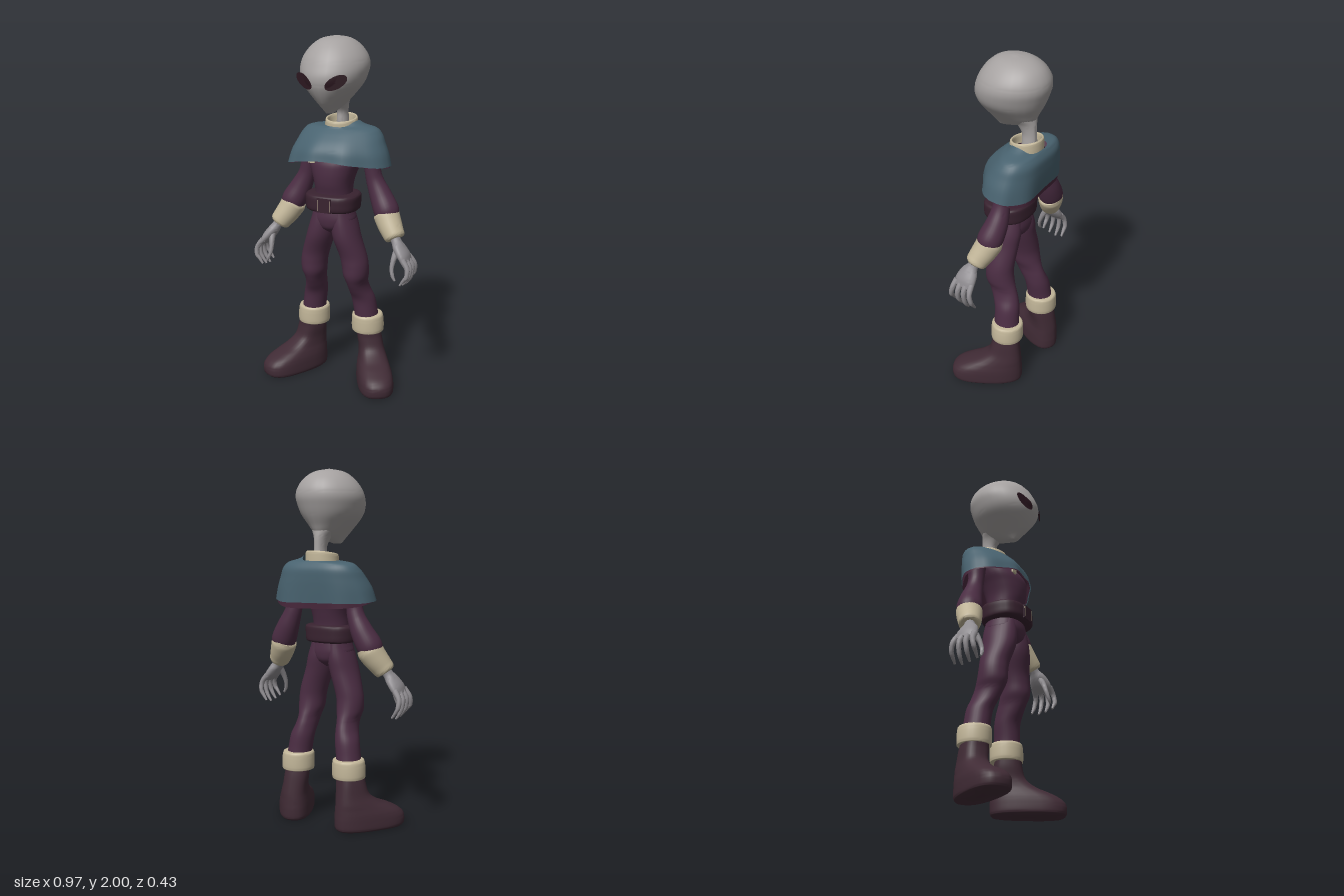
import * as THREE from 'three';
import { toCreasedNormals } from 'three/addons/utils/BufferGeometryUtils.js';

const mat = (name, color, side = THREE.FrontSide) => {
  const m = new THREE.MeshStandardMaterial({ color, side });
  m.name = name;
  return m;
};

// Smooth curves through rows of [x, y, z, radiusX, radiusZ]
function sampler(rows) {
  const spline = f => new THREE.CatmullRomCurve3(rows.map(f), false, 'catmullrom', 0.5);
  const centre = spline(r => new THREE.Vector3(r[0], r[1], r[2]));
  const radius = spline(r => new THREE.Vector3(r[3], r[4] ?? r[3], 0));
  return t => ({ c: centre.getPoint(t), r: radius.getPoint(t), d: centre.getTangent(t) });
}

// Skin of rounded rings along the rows. flat keeps rings level (rows then run upward);
// square < 1 makes the rings boxier; warp moves each vertex by angle and position.
function loft(rows, { flat = true, square = 1, cap = true, steps = 5, sides = 28, warp } = {}) {
  const at = sampler(rows), n = (rows.length - 1) * steps, pos = [], idx = [];
  const pw = v => Math.sign(v) * Math.abs(v) ** square;
  for (let i = 0; i <= n; i++) {
    const { c, r, d } = at(i / n);
    const t = flat ? new THREE.Vector3(0, 1, 0) : d;
    const v = new THREE.Vector3(0, 0, 1).addScaledVector(t, -t.z).normalize();
    const u = t.clone().cross(v);
    for (let j = 0; j < sides; j++) {
      const a = j / sides * Math.PI * 2;
      const p = c.clone().addScaledVector(u, Math.max(r.x, 0.001) * pw(Math.cos(a)))
        .addScaledVector(v, Math.max(r.y, 0.001) * pw(Math.sin(a)));
      if (warp) warp(p, a, i / n);
      pos.push(p.x, p.y, p.z);
      if (i < n) {
        const k = i * sides, A = k + j, B = k + (j + 1) % sides;
        idx.push(A, A + sides, B, B, A + sides, B + sides);
      }
    }
  }
  if (cap) for (const [i, end] of [[0, 0], [n, 1]]) {
    const c = at(end).c, m = pos.length / 3;
    pos.push(c.x, c.y, c.z);
    for (let j = 0; j < sides; j++) {
      const A = i * sides + j, B = i * sides + (j + 1) % sides;
      idx.push(...(end ? [m, B, A] : [m, A, B]));
    }
  }
  const g = new THREE.BufferGeometry();
  g.setAttribute('position', new THREE.Float32BufferAttribute(pos, 3));
  g.setIndex(idx);
  return toCreasedNormals(g, 0.9);
}

// Level ring given by height, front z, back z and half width
const band = (y, zf, zb, rx, x = 0) => [x, y, (zf + zb) / 2, rx, (zf - zb) / 2];

export function createModel() {
  const model = new THREE.Group();
  model.name = 'alienFigure';
  const skin = mat('grey skin', 0xa6a2a1), handSkin = mat('darker hand skin', 0x8f8c90);
  const suit = mat('plum suit', 0x4b2d43), boot = mat('dark boot', 0x402b35);
  const cream = mat('cream trim', 0xc2b699, THREE.DoubleSide), teal = mat('teal cape', 0x496370, THREE.DoubleSide);
  const lining = mat('cape lining', 0x47273b, THREE.DoubleSide);
  const beltMat = mat('belt', 0x38222f), eyeMat = mat('eye', 0x2b171f);
  const add = (name, geo, material, parent = model) => {
    const m = new THREE.Mesh(geo, material);
    m.name = name;
    parent.add(m);
    return m;
  };

  // Head and neck
  const headRows = [
    band(1.592, 0.095, 0.03, 0.02), band(1.62, 0.128, -0.075, 0.045), band(1.65, 0.157, -0.13, 0.073),
    band(1.7, 0.19, -0.157, 0.12), band(1.75, 0.211, -0.182, 0.16), band(1.8, 0.214, -0.2, 0.18),
    band(1.85, 0.197, -0.212, 0.186), band(1.9, 0.172, -0.204, 0.17), band(1.95, 0.13, -0.17, 0.13),
    band(1.985, 0.075, -0.11, 0.077), band(2, -0.015, -0.025, 0.005)];
  add('head', loft(headRows), skin);
  add('neck', loft([band(1.46, -0.06, -0.15, 0.04), band(1.53, -0.06, -0.15, 0.032),
    band(1.58, -0.057, -0.148, 0.03), band(1.63, -0.02, -0.146, 0.042), band(1.67, 0.02, -0.14, 0.07)]), skin);

  // Slanted eye plates, standing a little off the face at their outer ends
  const at = sampler(headRows);
  const faceZ = (x, y) => {
    let lo = 0, hi = 1;
    for (let i = 0; i < 25; i++) { const m = (lo + hi) / 2; if (at(m).c.y < y) lo = m; else hi = m; }
    const { c, r } = at(lo);
    return c.z + r.y * Math.sqrt(Math.max(0, 1 - (x / r.x) ** 2));
  };
  for (const s of [1, -1]) {
    const g = new THREE.RingGeometry(0.001, 1, 32, 6), p = g.attributes.position;
    for (let i = 0; i < p.count; i++) {
      const ex = p.getX(i) * 0.062, ey = p.getY(i) * 0.032, c = Math.cos(0.55), q = Math.sin(0.55);
      const x = 0.093 + ex * c - ey * q, y = 1.775 + ex * q + ey * c;
      p.setXYZ(i, s * x, y, Math.max(faceZ(x, y) + 0.006, 0.226 - 0.38 * x));
    }
    if (s < 0) g.setIndex([...g.index.array].reverse());
    g.computeVertexNormals();
    add(s > 0 ? 'leftEye' : 'rightEye', g, eyeMat);
  }

  // Stand-up collar, higher at the back, with a folded-over rim
  add('collar', loft([band(1.48, 0.002, -0.18, 0.095), band(1.51, 0.003, -0.18, 0.093), band(1.54, 0.002, -0.178, 0.09),
    band(1.541, -0.01, -0.168, 0.079), band(1.5, -0.01, -0.165, 0.076)],
  { cap: false, warp: (p, a) => { p.y -= 0.014 * Math.sin(a); } }), cream);

  // Shoulder cape: narrower in front, slightly twisted, with a fold up the left of the collar
  const capeRows = [
    band(1.288, 0.136, -0.208, 0.296), band(1.355, 0.122, -0.212, 0.28), band(1.41, 0.092, -0.214, 0.257),
    band(1.46, 0.047, -0.212, 0.233), band(1.492, 0.012, -0.195, 0.195), band(1.503, 0.004, -0.184, 0.1)];
  const drape = (drop, lift) => (p, a, t) => {
    const w = (1 - t) ** 2, s = Math.sin(a), front = Math.max(0, s), back = Math.max(0, -s);
    p.y += w * (0.044 * front * front - (0.015 + drop) * back + 0.004 * Math.sin(3 * a + 1));
    p.y += lift * Math.max(0, Math.cos(a)) ** 6 * t ** 12;
    p.x *= 1 - 0.36 * front;
    p.z += 0.006 * w * Math.sin(7 * a) - 0.08 * p.x * (1 - t);
  };
  const capeShape = { cap: false, square: 0.74, sides: 48 };
  add('cape', loft(capeRows, { ...capeShape, warp: drape(0, 0.03) }), teal);
  // Lining that shows along the back hem
  add('capeLining', loft(capeRows.slice(0, 5).map(([x, y, z, a, b]) => [x, y - 0.002, z, a * 0.97, b * 0.96]),
    { ...capeShape, warp: drape(0.03, 0) }), lining);
  // Small pale tab below the front hem
  add('capeTab', new THREE.BoxGeometry(0.04, 0.028, 0.009), cream).position.set(-0.09, 1.33, 0.115);

  // Torso, hips and belt
  add('torso', loft([band(1.05, 0.1, -0.085, 0.105), band(1.13, 0.105, -0.085, 0.104), band(1.2, 0.122, -0.1, 0.11),
    band(1.27, 0.126, -0.12, 0.132), band(1.33, 0.114, -0.145, 0.158), band(1.4, 0.06, -0.165, 0.17),
    band(1.475, -0.02, -0.16, 0.12)], { square: 0.9 }), suit);
  add('hips', loft([band(0.905, 0.05, -0.04, 0.03), band(0.94, 0.1, -0.083, 0.085), band(0.985, 0.114, -0.095, 0.125),
    band(1.03, 0.112, -0.093, 0.117), band(1.08, 0.1, -0.085, 0.105)], { square: 0.85 }), suit);
  add('belt', loft([band(1.042, 0.115, -0.095, 0.12), band(1.05, 0.146, -0.108, 0.146), band(1.09, 0.15, -0.11, 0.152),
    band(1.132, 0.144, -0.108, 0.15), band(1.142, 0.11, -0.09, 0.118)], { square: 0.76 }), beltMat);
  add('buckle', new THREE.BoxGeometry(0.085, 0.08, 0.01), beltMat).position.set(0, 1.088, 0.149);
  for (const s of [1, -1]) {
    add('buckleTrim', new THREE.BoxGeometry(0.003, 0.06, 0.004), cream).position.set(s * 0.037, 1.088, 0.154);
  }

  // Limbs, built once for each side
  for (const s of [1, -1]) {
    const side = new THREE.Group();
    side.name = s > 0 ? 'leftLimbs' : 'rightLimbs';
    model.add(side);
    const flip = rows => rows.map(([x, ...rest]) => [x * s, ...rest]);
    const limb = (name, rows, m, o) => add(name, loft(flip(rows), o), m, side);

    // Leg with thigh, knee and shin
    limb('leg', [band(0.36, 0, -0.155, 0.07, 0.172), band(0.42, 0.002, -0.147, 0.068, 0.165),
      band(0.5, 0.01, -0.14, 0.067, 0.152), band(0.56, 0.04, -0.125, 0.058, 0.138), band(0.61, 0.066, -0.107, 0.057, 0.132),
      band(0.66, 0.085, -0.09, 0.071, 0.131), band(0.72, 0.087, -0.08, 0.076, 0.128), band(0.78, 0.09, -0.08, 0.078, 0.115),
      band(0.88, 0.112, -0.085, 0.078, 0.083), band(0.96, 0.112, -0.092, 0.072, 0.066),
      band(1.04, 0.1, -0.085, 0.055, 0.055)], suit);
    limb('bootCuff', [band(0.298, 0, -0.165, 0.08, 0.175), band(0.3, 0.01, -0.174, 0.093, 0.175),
      band(0.35, 0.012, -0.176, 0.094, 0.174), band(0.395, 0.008, -0.172, 0.088, 0.172),
      band(0.402, -0.01, -0.155, 0.07, 0.171)], cream);

    // Boot turned outward, broader at the toe
    const b = limb('boot', [band(0, 0.305, -0.09, 0.09), band(0.015, 0.318, -0.1, 0.1), band(0.06, 0.318, -0.102, 0.1),
      band(0.095, 0.288, -0.1, 0.096), band(0.125, 0.23, -0.098, 0.088), band(0.155, 0.16, -0.095, 0.08),
      band(0.2, 0.1, -0.09, 0.073, -0.005), band(0.26, 0.08, -0.083, 0.072, -0.014), band(0.31, 0.075, -0.075, 0.068, -0.02)],
    boot, { square: 0.76, warp: (p, a, t) => { p.x *= 1 + 0.14 * Math.sin(a) * (1 - t); } });
    b.position.set(s * 0.2, 0, -0.085);
    b.rotation.y = s * 0.53;

    // Arm sleeve and forearm cuff
    limb('arm', [[0.14, 1.45, -0.08, 0.05], [0.185, 1.37, -0.075, 0.055], [0.198, 1.27, -0.07, 0.046], [0.214, 1.2, -0.073, 0.05],
      [0.25, 1.12, -0.07, 0.063], [0.292, 1.04, -0.056, 0.071], [0.315, 0.99, -0.045, 0.05]], suit, { flat: false });
    limb('armCuff', [[0.286, 1.03, -0.058, 0.055], [0.289, 1.024, -0.057, 0.072], [0.314, 0.98, -0.04, 0.07],
      [0.344, 0.935, -0.02, 0.063], [0.364, 0.908, -0.01, 0.056], [0.368, 0.902, -0.008, 0.035]], cream, { flat: false });

    // Hand: palm, four hooked fingers and a thumb
    limb('palm', [[0.35, 0.93, -0.012, 0.03], [0.375, 0.89, 0, 0.028, 0.032], [0.395, 0.86, 0.008, 0.031, 0.052],
      [0.425, 0.82, 0.014, 0.03, 0.064], [0.447, 0.785, 0.017, 0.018, 0.062]], handSkin, { flat: false, sides: 20 });
    for (let i = 0; i < 4; i++) {
      const z = 0.066 - i * 0.033, k = Math.abs(i - 1.8) * 0.012, spread = (1.5 - i) * 0.006;
      limb('finger', [[0.435, 0.81, z, 0.018], [0.468, 0.765, z + spread, 0.015], [0.468, 0.72, z + spread * 2, 0.013],
        [0.455, 0.68 + k, z + spread * 2, 0.011], [0.43, 0.645 + k, z + spread * 2, 0.006]],
      handSkin, { flat: false, sides: 10, steps: 4 });
    }
    limb('thumb', [[0.39, 0.85, 0.03, 0.02], [0.382, 0.805, 0.056, 0.016], [0.378, 0.755, 0.075, 0.012],
      [0.388, 0.715, 0.085, 0.01], [0.402, 0.69, 0.086, 0.006]], handSkin, { flat: false, sides: 10, steps: 4 });
  }
  return model;
}
